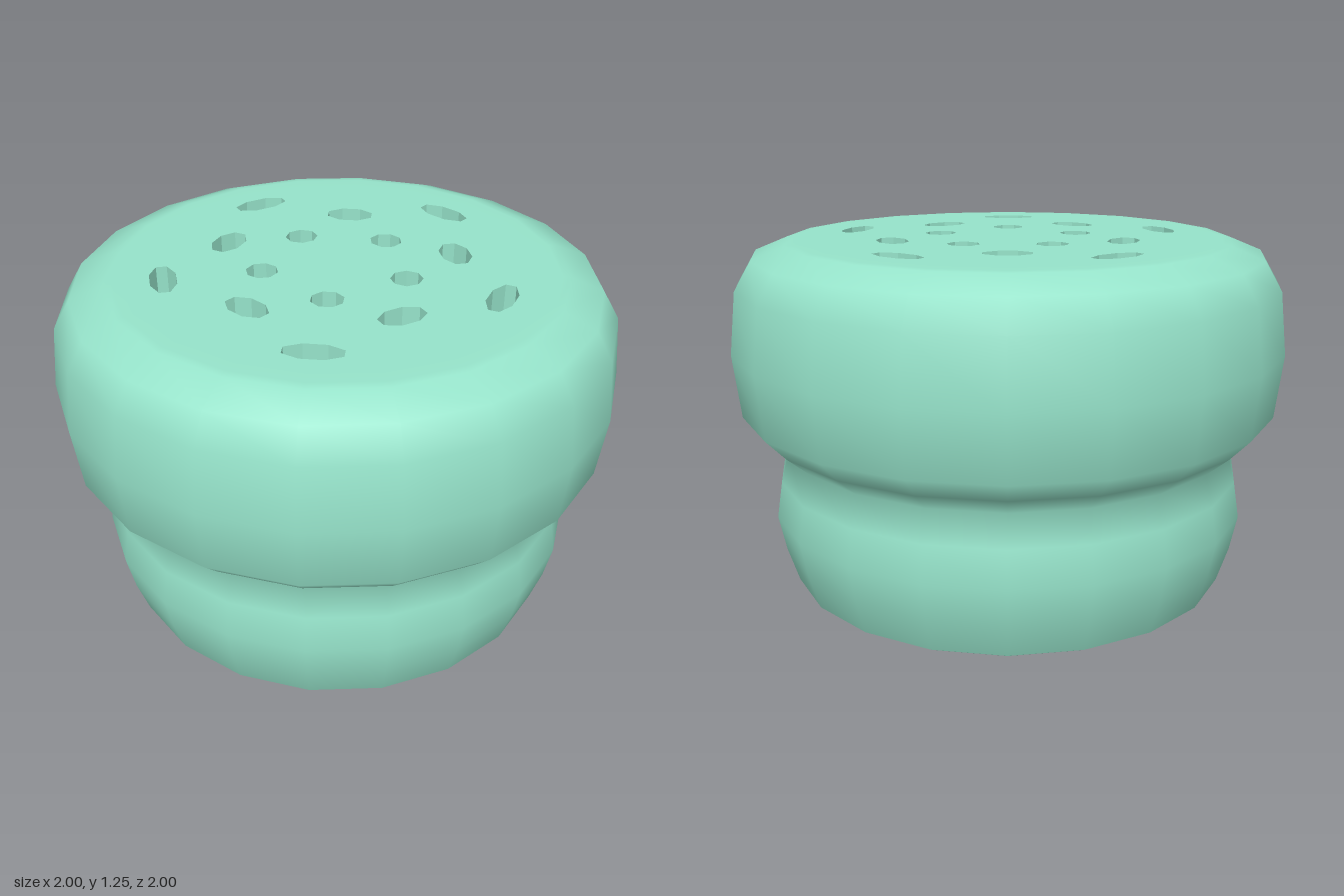
import * as THREE from 'three';

const SIDES = 20;
const TOP = 1.25;
const THICKNESS = 0.11;
const PLATE_RADIUS = 0.7;

// Closed loop of points around an ellipse, stretched along the tangent of its ring
function holePath(ringRadius, angle, halfTangent, halfRadial) {
  const points = [];
  for (let i = 0; i < 8; i++) {
    const a = ((i + 0.5) / 8) * Math.PI * 2;
    const t = Math.cos(a) * halfTangent * 1.06;
    const r = ringRadius + Math.sin(a) * halfRadial * 1.06;
    points.push(new THREE.Vector2(
      Math.sin(angle) * r + Math.cos(angle) * t,
      Math.cos(angle) * r - Math.sin(angle) * t
    ));
  }
  return new THREE.Path(points);
}

export function createModel() {
  const group = new THREE.Group();
  group.name = 'shakerCap';
  const material = new THREE.MeshStandardMaterial({ color: 0x96e3ca });

  // Hollow body: down the inside, round the bottom rim, up the outside
  const profile = [
    [PLATE_RADIUS, TOP - THICKNESS], [0.77, 1.13], [0.83, 1.1], [0.87, 1.04], [0.89, 0.88],
    [0.87, 0.71], [0.81, 0.64], [0.72, 0.54], [0.71, 0.48], [0.74, 0.39],
    [0.765, 0.27], [0.745, 0.18], [0.7, 0.12], [0.68, 0.1], [0.68, 0.02],
    [0.69, 0], [0.79, 0], [0.81, 0.012], [0.85, 0.14], [0.876, 0.27],
    [0.855, 0.4], [0.825, 0.51], [0.905, 0.58], [0.975, 0.655], [1, 0.88],
    [0.975, 1.1], [0.915, 1.2], [0.8, 1.247], [0.77, TOP], [PLATE_RADIUS, TOP],
  ].map(([r, y]) => new THREE.Vector2(r, y));
  const body = new THREE.Mesh(new THREE.LatheGeometry(profile, SIDES), material);
  body.name = 'body';
  group.add(body);

  // Perforated top plate
  const outline = [];
  for (let i = 0; i < SIDES; i++) {
    const a = (i / SIDES) * Math.PI * 2;
    outline.push(new THREE.Vector2(Math.cos(a) * PLATE_RADIUS, Math.sin(a) * PLATE_RADIUS));
  }
  const plateShape = new THREE.Shape(outline);

  // Three rings of five holes, the middle ring turned to the gaps
  const rings = [
    { radius: 0.26, start: Math.PI, tangent: 0.055, radial: 0.053 },
    { radius: 0.425, start: 0, tangent: 0.083, radial: 0.053 },
    { radius: 0.595, start: Math.PI, tangent: 0.098, radial: 0.046 },
  ];
  for (const ring of rings) {
    for (let i = 0; i < 5; i++) {
      const angle = ring.start + (i / 5) * Math.PI * 2;
      plateShape.holes.push(holePath(ring.radius, angle, ring.tangent, ring.radial));
    }
  }
  const plateGeometry = new THREE.ExtrudeGeometry(plateShape, { depth: THICKNESS, bevelEnabled: false });
  plateGeometry.rotateX(Math.PI / 2).translate(0, TOP, 0);
  const plate = new THREE.Mesh(plateGeometry, material);
  plate.name = 'perforatedTop';
  group.add(plate);

  return group;
}
